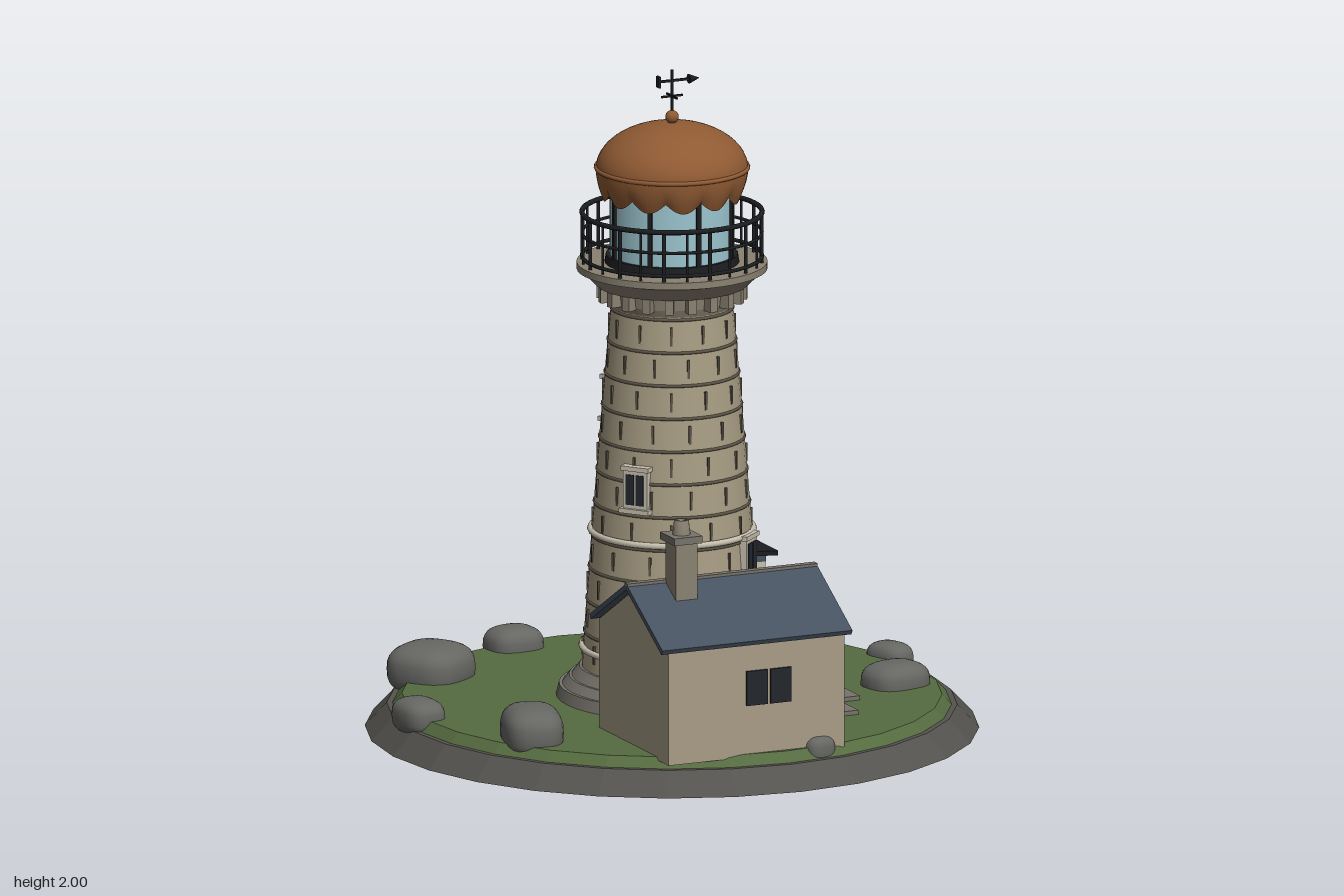
import * as THREE from 'three';

const mat = (color, extra = {}) => new THREE.MeshStandardMaterial({ color, ...extra });
const M = {
  stone: mat(0xa89d84), mortar: mat(0x5a5346), trim: mat(0xc6bfae), grey: mat(0x77736c),
  cliff: mat(0x55534f, { flatShading: true }), grass: mat(0x556b40, { flatShading: true }),
  rock: mat(0x666663), iron: mat(0x1c1d20), glass: mat(0x9cc5cf), pane: mat(0x23272d),
  copper: mat(0x8f5a33, { side: THREE.DoubleSide }), wall: mat(0xa89d86), slate: mat(0x46525f),
  wood: mat(0x4b3426), corbel: mat(0x8a8272),
};
const V = (x, y) => new THREE.Vector2(x, y);
const TAU = Math.PI * 2;

function add(parent, name, geo, material, x = 0, y = 0, z = 0) {
  const m = new THREE.Mesh(geo, material);
  m.name = name;
  m.position.set(x, y, z);
  parent.add(m);
  return m;
}
const box = (p, name, m, w, h, d, x, y, z) => add(p, name, new THREE.BoxGeometry(w, h, d), m, x, y, z);
const cyl = (p, name, m, rt, rb, h, x, y, z, n = 32) => add(p, name, new THREE.CylinderGeometry(rt, rb, h, n), m, x, y, z);
const lathe = (p, name, m, pts, n = 40) => add(p, name, new THREE.LatheGeometry(pts.map(a => V(...a)), n), m);
function ring(p, name, m, r, y, tube) {
  const t = add(p, name, new THREE.TorusGeometry(r, tube, 8, 48), m, 0, y, 0);
  t.rotation.x = Math.PI / 2;
  return t;
}
// Group on the tower axis turned so that its local +z points outwards
function facing(parent, name, angle, y = 0) {
  const g = new THREE.Group();
  g.name = name;
  g.position.y = y;
  g.rotation.y = angle;
  parent.add(g);
  return g;
}
// Slightly bowed taper of the tower
function towerRadius(y) {
  const t = (y - 0.18) / 1.12;
  return 0.268 - 0.075 * t - 0.013 * t * t;
}

function buildIsland(root) {
  cyl(root, 'islandCliff', M.cliff, 0.845, 0.91, 0.07, 0, 0.035, 0, 28);
  cyl(root, 'grass', M.grass, 0.8, 0.83, 0.032, 0, 0.084, 0, 28);
  // Boulders: x, z, half width, half depth, top, turn
  const rocks = [
    [-0.55, -0.51, 0.13, 0.125, 0.2, 0.6], [-0.18, -0.73, 0.09, 0.08, 0.165, 0.1],
    [0.51, -0.54, 0.085, 0.11, 0.17, 0.4], [0.79, -0.17, 0.055, 0.075, 0.14, 0.4],
    [0.65, 0.17, 0.105, 0.088, 0.17, 0.25], [-0.8, -0.06, 0.07, 0.09, 0.155, 0.1],
    [-0.61, 0.33, 0.095, 0.135, 0.2, -0.3], [0.12, 0.775, 0.05, 0.04, 0.13, 0.2],
  ];
  for (const [x, z, rx, rz, top, turn] of rocks) {
    const geo = new THREE.SphereGeometry(1, 24, 16);
    const p = geo.attributes.position;
    const sq = v => Math.sign(v) * Math.abs(v) ** 0.72;
    for (let i = 0; i < p.count; i++) p.setXYZ(i, sq(p.getX(i)) * 0.96, sq(p.getY(i)), sq(p.getZ(i)) * 0.96);
    geo.scale(rx, (top - 0.045) / 2, rz);
    geo.computeVertexNormals();
    add(root, 'boulder', geo, M.rock, x, (top + 0.045) / 2, z).rotation.y = turn;
  }
  for (const [x, z, w, d] of [[0.4, 0.055, 0.12, 0.155], [0.405, 0.235, 0.13, 0.15],
    [0.325, 0.4, 0.13, 0.145], [0.25, 0.51, 0.09, 0.13], [0.225, 0.565, 0.1, 0.11]])
    box(root, 'pathStone', M.grey, w, 0.016, d, x, 0.105, z);
}

function buildWindow(tower, angle, y) {
  const r = towerRadius(y);
  const g = facing(tower, 'towerWindow', angle, y);
  box(g, 'windowFrame', M.trim, 0.08, 0.12, 0.05, 0, 0, r - 0.01);
  for (const s of [-1, 1]) box(g, 'windowPane', M.pane, 0.026, 0.092, 0.01, s * 0.0165, 0, r + 0.013);
  box(g, 'windowSill', M.trim, 0.098, 0.014, 0.06, 0, -0.064, r - 0.005);
  box(g, 'windowLintel', M.trim, 0.092, 0.014, 0.055, 0, 0.064, r - 0.008);
}

function buildTower(root) {
  const t = new THREE.Group();
  t.name = 'tower';
  root.add(t);
  for (const [r0, r1, y, h] of [[0.335, 0.345, 0.115, 0.04], [0.305, 0.325, 0.148, 0.026], [0.275, 0.298, 0.175, 0.03]])
    cyl(t, 'plinth', M.grey, r0, r1, h, 0, y, 0, 40);
  const pts = [];
  for (let i = 0; i <= 10; i++) { const y = 0.17 + i * 0.117; pts.push([towerRadius(y), y]); }
  lathe(t, 'towerShaft', M.stone, pts);
  // Mortar courses with staggered upright joints
  for (let k = 0; k < 11; k++) {
    const y = 1.28 - k * 0.0985;
    ring(t, 'mortarCourse', M.mortar, towerRadius(y) - 0.001, y, 0.005);
    for (let j = 0; j < 12; j++) {
      const jy = y - 0.049;
      const g = facing(t, 'mortarJoint', (j + (k % 2) / 2) / 12 * TAU + 0.08);
      box(g, 'joint', M.mortar, 0.007, 0.055, 0.012, 0, jy, towerRadius(jy) - 0.002);
    }
  }
  for (const y of [0.25, 0.605]) ring(t, 'stringBand', M.trim, towerRadius(y) + 0.004, y, 0.01);
  buildWindow(t, 0.73, 0.54);
  buildWindow(t, -0.91, 0.77);
  buildWindow(t, -2.6, 0.98);

  // Entrance
  const d = facing(t, 'entrance', Math.PI / 2);
  box(d, 'doorFrame', M.trim, 0.175, 0.31, 0.06, 0, 0.345, 0.235);
  box(d, 'door', M.wood, 0.135, 0.265, 0.02, 0, 0.328, 0.262);
  add(d, 'doorKnob', new THREE.SphereGeometry(0.009, 12, 8), M.iron, -0.05, 0.31, 0.277);
  box(d, 'canopy', M.iron, 0.2, 0.014, 0.1, 0, 0.522, 0.25).rotation.x = 0.06;
  box(d, 'canopyBeam', M.slate, 0.18, 0.02, 0.05, 0, 0.505, 0.24);
  box(d, 'upperStep', M.grey, 0.2, 0.024, 0.1, 0, 0.185, 0.293);
  box(d, 'lowerStep', M.grey, 0.17, 0.08, 0.08, 0, 0.135, 0.28);

  // Gallery on its ring of brackets
  lathe(t, 'galleryCorbel', M.corbel, [[0.178, 1.28], [0.19, 1.31], [0.195, 1.345], [0.225, 1.35], [0.27, 1.395], [0.283, 1.397],
    [0.283, 1.418], [0, 1.418]].flatMap(p => [p, p]), 48);
  for (let i = 0; i < 20; i++) {
    const b = facing(t, 'bracket', (i + 0.5) / 20 * TAU);
    box(b, 'bracketBlock', M.corbel, 0.026, 0.045, 0.05, 0, 1.328, 0.198);
  }
  for (let i = 0; i < 24; i++) {
    const a = i / 24 * TAU, r = i % 2 ? 0.004 : 0.006;
    cyl(t, 'railPost', M.iron, r, r, 0.15, 0.267 * Math.sin(a), 1.493, 0.267 * Math.cos(a), 8);
  }
  for (const [y, r] of [[1.568, 0.008], [1.505, 0.005], [1.435, 0.006]]) ring(t, 'handrail', M.iron, 0.267, y, r);
}

function buildLantern(root) {
  const l = new THREE.Group();
  l.name = 'lantern';
  root.add(l);
  cyl(l, 'lanternGlass', M.glass, 0.185, 0.185, 0.25, 0, 1.54, 0, 40);
  cyl(l, 'lanternSill', M.iron, 0.196, 0.2, 0.026, 0, 1.429, 0, 40);
  cyl(l, 'lanternHead', M.iron, 0.195, 0.195, 0.02, 0, 1.66, 0, 40);
  for (let i = 0; i < 8; i++) box(facing(l, 'mullion', i / 8 * TAU), 'mullionBar', M.iron, 0.014, 0.24, 0.014, 0, 1.54, 0.186);
  // Dome with a scalloped skirt
  const dome = [];
  for (let i = 0; i <= 14; i++) {
    const a = i / 14 * Math.PI / 2;
    dome.push([0.226 * Math.cos(a), 1.7 + 0.14 * Math.sin(a)]);
  }
  lathe(l, 'dome', M.copper, dome, 48);
  const skirt = new THREE.CylinderGeometry(1, 1, 1, 96, 6, true);
  const p = skirt.attributes.position;
  for (let i = 0; i < p.count; i++) {
    const x = p.getX(i), z = p.getZ(i), k = 0.5 - p.getY(i);
    const drop = 0.065 + 0.03 * Math.abs(Math.sin(6 * Math.atan2(x, z)));
    const r = 0.226 - 0.022 * k * k;
    p.setXYZ(i, x * r, 1.702 - drop * k, z * r);
  }
  skirt.computeVertexNormals();
  add(l, 'domeSkirt', skirt, M.copper);
  ring(l, 'domeRing', M.copper, 0.225, 1.705, 0.007);
  // Weather vane
  add(l, 'finial', new THREE.SphereGeometry(0.02, 20, 14), M.copper, 0, 1.857, 0);
  cyl(l, 'vaneRod', M.iron, 0.004, 0.004, 0.14, 0, 1.93, 0, 8);
  box(l, 'compassBar', M.iron, 0.07, 0.006, 0.006, 0, 1.92, 0);
  box(l, 'compassBar', M.iron, 0.006, 0.006, 0.07, 0, 1.92, 0);
  box(l, 'vaneArrow', M.iron, 0.13, 0.007, 0.007, 0.015, 1.967, 0);
  box(l, 'vaneTail', M.iron, 0.008, 0.034, 0.02, -0.044, 1.967, 0);
  const head = add(l, 'vanePoint', new THREE.ConeGeometry(0.015, 0.035, 10), M.iron, 0.072, 1.967, 0);
  head.rotation.z = -Math.PI / 2;
}

function buildCottage(root) {
  const h = new THREE.Group();
  h.name = 'cottage';
  root.add(h);
  // Gabled walls, outlined in z and y and pushed along x
  const zc = 0.54, half = 0.245;
  const gable = new THREE.Shape([V(-half, 0.09), V(half, 0.09), V(half, 0.43), V(0, 0.572), V(-half, 0.43)]);
  const walls = add(h, 'cottageWalls', new THREE.ExtrudeGeometry(gable, { depth: 0.575, bevelEnabled: false }), M.wall, -0.375, 0, zc);
  walls.rotation.y = Math.PI / 2;
  const slope = Math.atan2(0.145, 0.252);
  for (const s of [-1, 1])
    box(h, 'roofSlope', M.slate, 0.62, 0.016, 0.292, -0.09, 0.511, zc + s * 0.127).rotation.x = s * slope;
  box(h, 'ridgeCap', M.grey, 0.62, 0.014, 0.024, -0.09, 0.588, zc);
  // Chimney
  box(h, 'chimney', M.corbel, 0.07, 0.2, 0.075, -0.24, 0.635, 0.585);
  box(h, 'chimneyCap', M.grey, 0.092, 0.022, 0.1, -0.24, 0.728, 0.585);
  add(h, 'chimneyPot', new THREE.LatheGeometry([V(0.027, 0), V(0.022, 0.045), V(0.013, 0.045), V(0.013, 0)], 16), M.corbel, -0.24, 0.737, 0.585);
  // Door on the end wall, windows on the front
  box(h, 'cottageDoorFrame', M.trim, 0.02, 0.285, 0.16, 0.202, 0.24, 0.54);
  box(h, 'cottageDoor', M.wood, 0.02, 0.25, 0.125, 0.206, 0.235, 0.54);
  add(h, 'cottageKnob', new THREE.SphereGeometry(0.008, 12, 8), M.iron, 0.22, 0.23, 0.585);
  box(h, 'doorStep', M.grey, 0.06, 0.02, 0.17, 0.225, 0.107, 0.54);
  for (const x of [-0.087, -0.01]) box(h, 'cottageWindow', M.pane, 0.068, 0.105, 0.012, x, 0.3, 0.786);
  // Short passage joining the cottage to the tower
  box(h, 'passage', M.wall, 0.22, 0.295, 0.2, -0.05, 0.238, 0.28).rotation.y = 0.3;
}

export function createModel() {
  const root = new THREE.Group();
  root.name = 'lighthouse';
  buildIsland(root);
  buildTower(root);
  buildLantern(root);
  buildCottage(root);
  return root;
}
